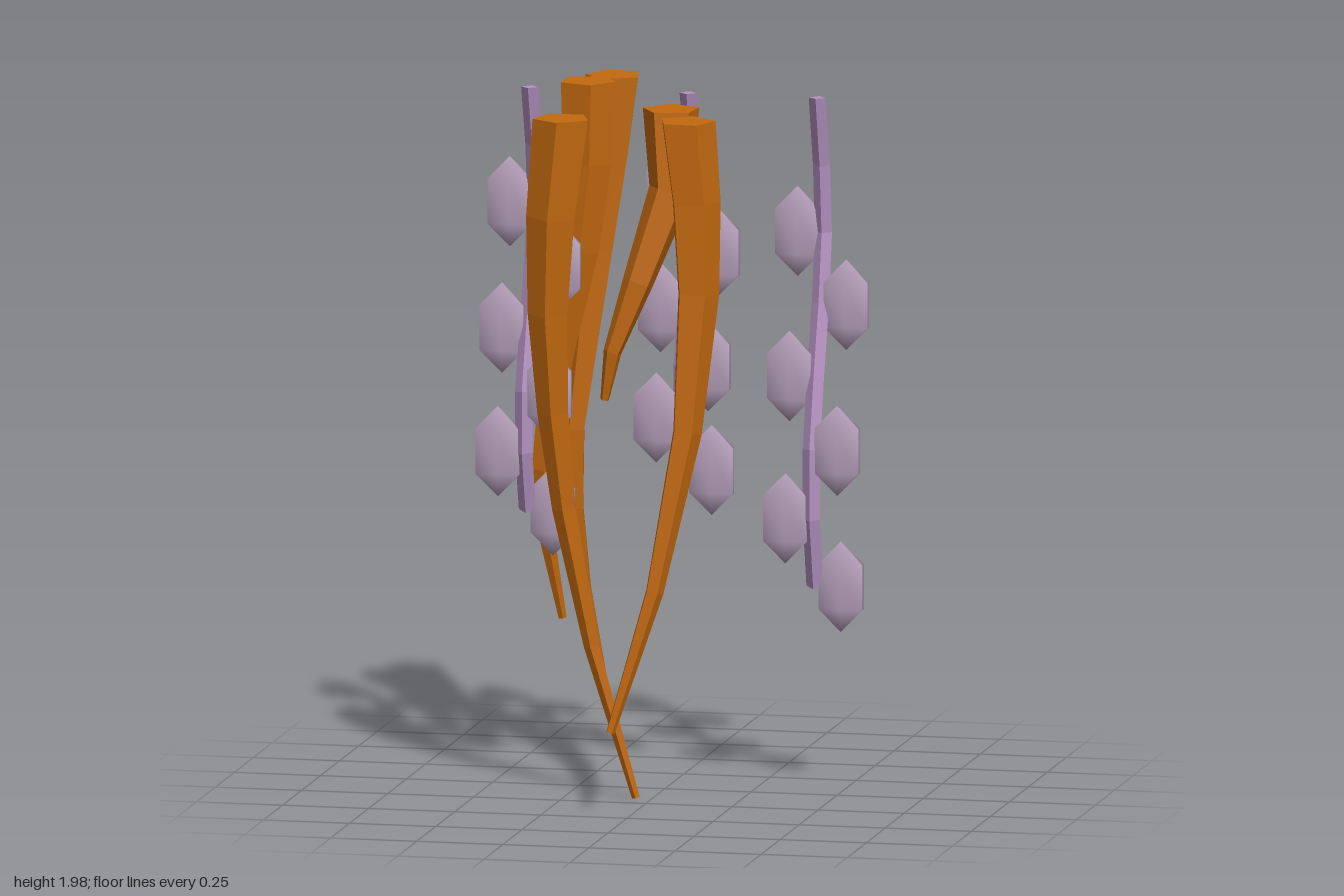
import * as THREE from 'three';

const rootMaterial = new THREE.MeshStandardMaterial({ color: 0xc46a10, flatShading: true, side: THREE.DoubleSide });
const vineMaterial = new THREE.MeshStandardMaterial({ color: 0xb592c2, flatShading: true });
const leafMaterial = new THREE.MeshStandardMaterial({ color: 0xb59fba });

// Capped faceted limb through points [x, y, z, radius], listed from top to bottom
function limb(points, sides, phase) {
  const centres = points.map(p => new THREE.Vector3(p[0], p[1], p[2]));
  const down = new THREE.Vector3(0, -1, 0);
  const last = centres.length - 1;
  const rings = centres.map((c, i) => {
    const tangent = i === 0 ? down.clone()
      : centres[Math.min(i + 1, last)].clone().sub(centres[i - 1]).normalize();
    const turn = new THREE.Quaternion().setFromUnitVectors(down, tangent);
    return Array.from({ length: sides }, (_, j) => {
      const a = phase + (j / sides) * Math.PI * 2;
      return new THREE.Vector3(Math.cos(a), 0, Math.sin(a))
        .multiplyScalar(points[i][3]).applyQuaternion(turn).add(c);
    });
  });
  const corners = [];
  for (let j = 0; j < sides; j++) {
    const k = (j + 1) % sides;
    for (let i = 0; i < last; i++) {
      const [a, b] = [rings[i], rings[i + 1]];
      corners.push(a[j], a[k], b[k], a[j], b[k], b[j]);
    }
    corners.push(centres[0], rings[0][k], rings[0][j]);
    corners.push(centres[last], rings[last][j], rings[last][k]);
  }
  const geometry = new THREE.BufferGeometry().setFromPoints(corners);
  geometry.computeVertexNormals();
  return geometry;
}

// Five tapering roots: name, turn of the top pentagon in degrees, path
const ROOTS = [
  ['frontRightRoot', 16, [
    [-0.225, 1.985, 0.335, 0.084], [-0.255, 1.7, 0.335, 0.073], [-0.268, 1.42, 0.315, 0.06],
    [-0.26, 1.13, 0.285, 0.047], [-0.235, 0.85, 0.255, 0.036], [-0.165, 0.45, 0.215, 0.023],
    [-0.045, 0.01, 0.175, 0.012]]],
  ['frontLeftRoot', -15, [
    [0.13, 1.985, 0.307, 0.083], [0.155, 1.75, 0.31, 0.074], [0.165, 1.49, 0.325, 0.063],
    [0.145, 1.1, 0.375, 0.044], [0.065, 0.65, 0.435, 0.027], [-0.055, 0.245, 0.47, 0.013]]],
  ['shortMiddleRoot', -31, [
    [0.05, 1.99, 0.145, 0.084], [0.055, 1.76, 0.165, 0.066], [-0.03, 1.5, 0.215, 0.046],
    [-0.1, 1.3, 0.235, 0.027], [-0.125, 1.16, 0.225, 0.013]]],
  ['backLeftRoot', 25, [
    [-0.235, 1.985, -0.405, 0.083], [-0.26, 1.75, -0.405, 0.074], [-0.29, 1.48, -0.395, 0.06],
    [-0.345, 0.97, -0.36, 0.038], [-0.345, 0.74, -0.38, 0.029], [-0.325, 0.5, -0.425, 0.02],
    [-0.28, 0.23, -0.465, 0.012]]],
  ['backRightRoot', 0, [
    [-0.288, 1.985, -0.29, 0.083], [-0.29, 1.75, -0.285, 0.073], [-0.315, 1.5, -0.275, 0.062],
    [-0.37, 1.2, -0.258, 0.048], [-0.412, 0.87, -0.257, 0.033], [-0.405, 0.67, -0.28, 0.023],
    [-0.37, 0.43, -0.33, 0.012]]],
];

// Leafy vines: x position and length of one stem section
const VINES = [['rightVine', -0.42, 0.173], ['middleVine', 0.04, 0.154], ['leftVine', 0.415, 0.2]];
const STEM_Z = [-0.125, -0.18, -0.205, -0.165, -0.1, -0.045, -0.045, -0.095];

// Flat six-sided leaf pointed at both ends
function leafGeometry() {
  const geometry = new THREE.SphereGeometry(1, 6, 3);
  geometry.rotateY(Math.PI / 6);
  const zVertex = new THREE.Vector3().fromBufferAttribute(geometry.attributes.position, 7);
  // keep a corner, not a face, pointing along z
  if (Math.abs(zVertex.x) > 0.8) geometry.rotateY(Math.PI / 6);
  geometry.scale(0.084, 0.13, 0.0254);
  return geometry;
}

function createVine(name, x, section, leaf) {
  const vine = new THREE.Group();
  vine.name = name;
  const path = STEM_Z.map((z, i) => [x, 1.99 - i * section, z, 0.025]);
  const stem = new THREE.Mesh(limb(path, 4, 0), vineMaterial);
  stem.name = 'stem';
  vine.add(stem);
  // Leaves alternate from side to side, starting at the third joint
  path.slice(2).forEach(([px, py, pz], i) => {
    const mesh = new THREE.Mesh(leaf, leafMaterial);
    mesh.name = 'leaf';
    mesh.position.set(px + (i % 2 ? 0.075 : -0.075), py, pz);
    vine.add(mesh);
  });
  return vine;
}

export function createModel() {
  const model = new THREE.Group();
  model.name = 'hangingRootsAndVines';
  for (const [name, turn, path] of ROOTS) {
    const root = new THREE.Mesh(limb(path, 5, THREE.MathUtils.degToRad(turn)), rootMaterial);
    root.name = name;
    model.add(root);
  }
  const leaf = leafGeometry();
  for (const [name, x, section] of VINES) model.add(createVine(name, x, section, leaf));
  return model;
}
